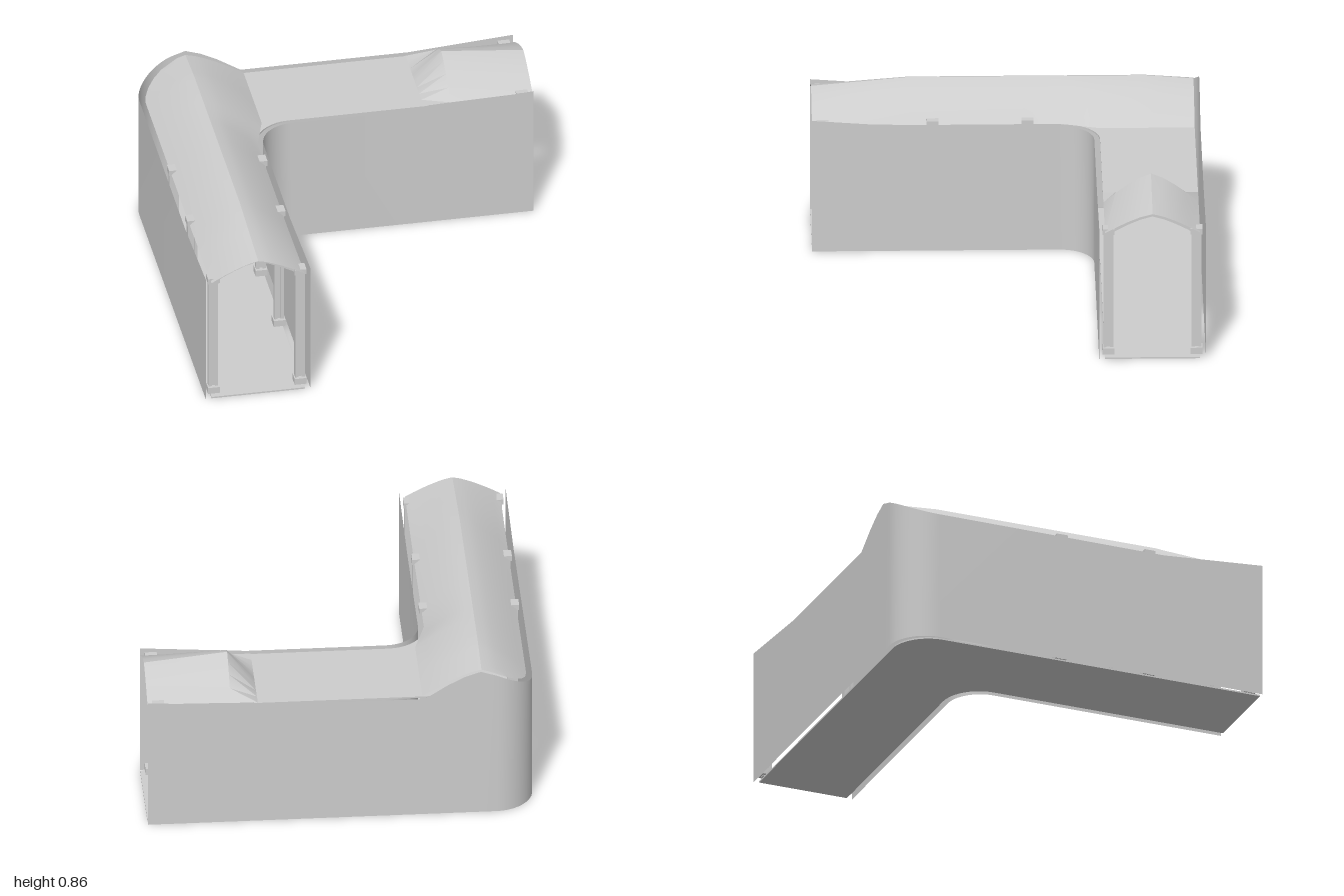
import * as THREE from 'three';
import { toCreasedNormals } from 'three/addons/utils/BufferGeometryUtils.js';

const grey = new THREE.MeshStandardMaterial({ color: 0xcccccc, side: THREE.DoubleSide });
grey.name = 'plainGrey';

const MID = -0.725; // centre line of both arms
const HALF = 0.245; // half width of roof and floor
const EAVE = 0.69;

// Rounded gable height for u = -1..1 across the arm
const gable = (u, eave, ridge) => eave + (ridge - eave) * (1 - Math.pow(Math.min(1, Math.abs(u)), 1.35));

// Joins rows of points into one surface
function loft(rows) {
  const n = rows[0].length, index = [];
  for (let i = 0; i < rows.length - 1; i++) {
    for (let j = 0; j < n - 1; j++) {
      const a = i * n + j, b = a + 1, c = a + n, d = c + 1;
      index.push(a, b, c, b, d, c);
    }
  }
  const g = new THREE.BufferGeometry();
  g.setAttribute('position', new THREE.Float32BufferAttribute(rows.flat(2), 3));
  g.setIndex(index);
  return toCreasedNormals(g, 0.3);
}

function add(parent, name, geometry) {
  const mesh = new THREE.Mesh(geometry, grey);
  mesh.name = name;
  parent.add(mesh);
  return mesh;
}

// Quarter arc of [x, z] points
function arc(cx, cz, r, from, to, n = 10) {
  return Array.from({ length: n + 1 }, (_, i) => {
    const a = from + (to - from) * i / n;
    return [cx + r * Math.cos(a), cz + r * Math.sin(a)];
  });
}

// Outline of the corner path between an outer and an inner edge
const outerPath = (e, r) => [[e, 1], [e, 0.45],
  ...arc(e + r, e + r, r, Math.PI, Math.PI * 1.5)];
const innerPath = (e, r) => [[e, 1], [e, 0.45],
  ...arc(e + r, e + r, r, Math.PI, Math.PI * 1.5), [0.45, e], [1, e]];

// Height of the wall: raised at open ends and under the corner gable
function wallTop(x, z) {
  const end = Math.max(0, Math.max(x, z) - 0.45) / 0.55;
  const corner = z < -0.75 && x < -0.42 ? gable((x + 0.72) / 0.29, EAVE, 0.84) : 0;
  return Math.max(EAVE + 0.04 * end, corner);
}
const wall = (path) => loft(path.map(([x, z]) => [[x, 0, z], [x, wallTop(x, z), z]]));

// Horizontal plate from [x, z] points
function plate(points, y, thickness) {
  const shape = new THREE.Shape(points.map(([x, z]) => new THREE.Vector2(x, -z)));
  const g = new THREE.ExtrudeGeometry(shape, { depth: thickness, bevelEnabled: false });
  g.rotateX(-Math.PI / 2);
  g.translate(0, y, 0);
  return g;
}

// Long arm roof, running through the rounded corner
function longRoof() {
  const zs = [1, 0.75, 0.5, -0.1, -0.28, -0.36, -0.42, -0.48, -0.72, -0.78, -0.83, -0.88, -0.92, -0.95, -0.97];
  return loft(zs.map((z) => {
    const end = Math.max(0, z - 0.5) / 0.5;
    const back = Math.max(0, -0.72 - z) / 0.25;
    const ridge = 0.855 - 0.045 * end - 0.02 * back;
    const eave = EAVE + 0.015 * end;
    const flare = 0.06 * Math.min(1, Math.max(0, (-0.28 - z) / 0.2));
    const dz = Math.max(0, -0.77 - z);
    const limit = -0.77 - Math.sqrt(Math.max(0, 0.04 - dz * dz));
    return Array.from({ length: 13 }, (_, j) => {
      const u = j / 6 - 1;
      const w = u > 0 ? HALF + flare : HALF;
      const x = Math.max(MID + u * w, limit);
      return [x, gable((x - MID) / w, eave, ridge), z];
    });
  }));
}

// Short arm roof with a sloped inner end
function shortRoof() {
  const sections = [[0.43, 0.688, EAVE], [0.57, 0.855, 0.695], [1, 0.81, 0.705]];
  return loft(sections.map(([x, ridge, eave]) => Array.from({ length: 9 }, (_, j) => {
    const u = 1 - j / 4;
    return [x, gable(u, eave, ridge), MID + u * HALF];
  })));
}

// Support frame: two posts with blocks, and a rafter arch
function frame(ridge) {
  const g = new THREE.Group();
  g.name = 'supportFrame';
  for (const s of [-1, 1]) {
    const x = s * 0.227;
    for (const d of [-0.017, 0.017]) {
      add(g, 'post', new THREE.BoxGeometry(0.016, 0.68, 0.03)).position.set(x + d, 0.35, 0);
    }
    add(g, 'postWeb', new THREE.BoxGeometry(0.03, 0.68, 0.01)).position.set(x, 0.35, 0);
    add(g, 'postBase', new THREE.BoxGeometry(0.062, 0.035, 0.062)).position.set(x, 0.033, 0);
    add(g, 'postCap', new THREE.BoxGeometry(0.062, 0.03, 0.062)).position.set(x, 0.7, 0);
  }
  const us = Array.from({ length: 9 }, (_, i) => i / 4 - 1);
  const edge = (drop) => us.map((u) => new THREE.Vector2(u * 0.235, gable(u, 0.705, ridge) - drop));
  const shape = new THREE.Shape([...edge(0.03), ...edge(0.007).reverse()]);
  const rafter = new THREE.ExtrudeGeometry(shape, { depth: 0.03, bevelEnabled: false });
  rafter.translate(0, 0, -0.015);
  add(g, 'rafterArch', rafter);
  return g;
}

export function createModel() {
  const model = new THREE.Group();
  model.name = 'cornerCorridor';

  // Floor
  add(model, 'floor', plate([
    ...outerPath(-0.97, 0.2), [1, -0.97],
    ...innerPath(-0.48, 0.2).reverse()], 0.002, 0.008));

  // Walls
  add(model, 'outerWall', wall([...outerPath(-1, 0.2),
    [-0.72, -1], [-0.64, -1], [-0.55, -1], [-0.43, -1], [0.45, -1], [1, -1]]));
  add(model, 'innerWall', wall(innerPath(-0.45, 0.18)));

  // Roofs, with a flat deck between the two gables
  add(model, 'longRoof', longRoof());
  add(model, 'shortRoof', shortRoof());
  add(model, 'flatDeck', plate([[-0.48, -0.97], [0.45, -0.97], [0.45, -0.48],
    ...arc(-0.28, -0.28, 0.2, Math.PI * 1.5, Math.PI)], 0.68, 0.008));

  // Support frames along both arms
  for (const [z, ridge] of [[0.945, 0.81], [0.38, 0.85], [-0.11, 0.85]]) {
    const f = frame(ridge);
    f.position.set(MID, 0, z);
    model.add(f);
  }
  const endFrame = frame(0.81);
  endFrame.position.set(0.945, 0, MID);
  endFrame.rotation.y = Math.PI / 2;
  model.add(endFrame);

  return model;
}
